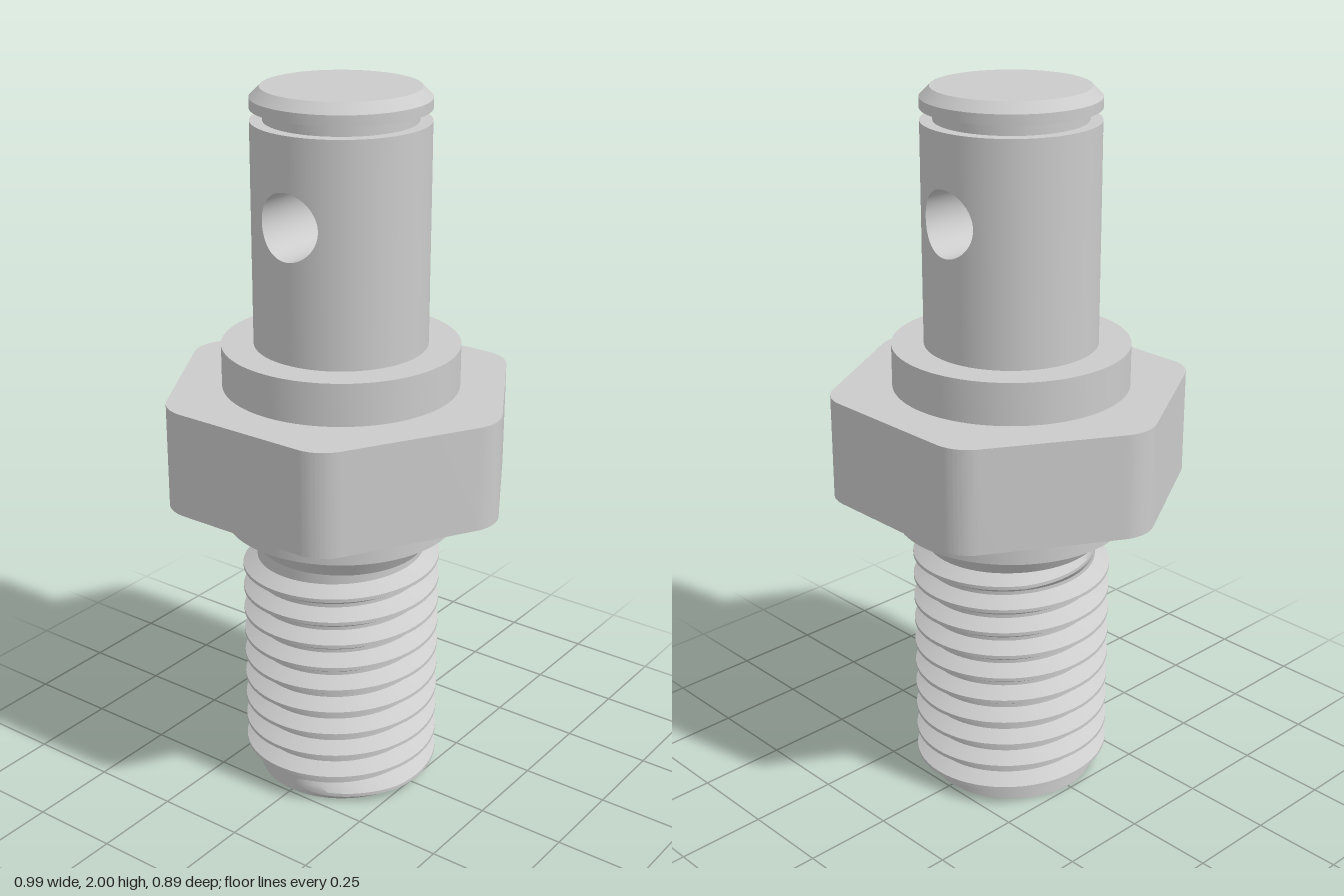
import * as THREE from 'three';
import { toCreasedNormals } from 'three/addons/utils/BufferGeometryUtils.js';
import { ParametricGeometry } from 'three/addons/geometries/ParametricGeometry.js';

const PIN_R = 0.237, PIN_BOTTOM = 1.31, PIN_TOP = 1.913;
const HOLE_R = 0.09, HOLE_Y = 1.678;
const ROOT_R = 0.238, CREST_R = 0.28, PITCH = 0.071, TURNS = 9.85;

const material = new THREE.MeshStandardMaterial({ color: 0xcccccc });

function part(name, geometry) {
  const mesh = new THREE.Mesh(geometry, material);
  mesh.name = name;
  return mesh;
}

// Solid of revolution from [radius, y] pairs listed upwards
function turned(name, profile) {
  const points = profile.map(([r, y]) => new THREE.Vector2(r, y));
  return part(name, toCreasedNormals(new THREE.LatheGeometry(points, 96), 0.4));
}

// Hexagon with filleted corners, extruded upwards
function hexNut(apothem, fillet, y0, y1) {
  const shape = new THREE.Shape();
  const centre = (apothem - fillet) / Math.cos(Math.PI / 6);
  for (let i = 0; i < 6; i++) {
    const a = (i * Math.PI) / 3;
    shape.absarc(centre * Math.cos(a), centre * Math.sin(a), fillet, a - Math.PI / 6, a + Math.PI / 6, false);
  }
  shape.closePath();
  const geometry = new THREE.ExtrudeGeometry(shape, { depth: y1 - y0, bevelEnabled: false, curveSegments: 10 });
  geometry.rotateX(-Math.PI / 2).translate(0, y0, 0);
  return part('hexNut', toCreasedNormals(geometry, 0.4));
}

// Half of the pin wall, spreading from the hole rim to the edges of the half cylinder
function pinWall() {
  return new ParametricGeometry((u, v, target) => {
    const a = -u * Math.PI * 2;
    const c = Math.cos(a), s = Math.sin(a), m = Math.max(Math.abs(c), Math.abs(s));
    const edgeY = s > 0 ? PIN_TOP - HOLE_Y : HOLE_Y - PIN_BOTTOM;
    const phi = THREE.MathUtils.lerp(Math.asin((HOLE_R * c) / PIN_R), ((c / m) * Math.PI) / 2, v);
    const y = HOLE_Y + THREE.MathUtils.lerp(HOLE_R * s, (s / m) * edgeY, v);
    target.set(PIN_R * Math.sin(phi), y, PIN_R * Math.cos(phi));
  }, 128, 16);
}

// Inner wall of the cross hole, ending on the pin surface
function holeWall() {
  return new ParametricGeometry((u, v, target) => {
    const a = -u * Math.PI * 2;
    const x = HOLE_R * Math.cos(a);
    target.set(x, HOLE_Y + HOLE_R * Math.sin(a), (2 * v - 1) * Math.sqrt(PIN_R * PIN_R - x * x));
  }, 128, 2);
}

// Right-handed helical ridge, fading out at both ends
function threadRidge() {
  const profile = [[-0.031, 0], [-0.005, 1], [0.005, 1], [0.031, 0]];
  const geometry = new ParametricGeometry((u, v, target) => {
    const t = u * TURNS, phi = t * Math.PI * 2;
    const fade = Math.min(1, t / 0.2, (TURNS - t) / 0.2);
    const i = Math.min(2, Math.floor(v * 3)), f = v * 3 - i;
    const dy = THREE.MathUtils.lerp(profile[i][0], profile[i + 1][0], f);
    const h = THREE.MathUtils.lerp(profile[i][1], profile[i + 1][1], f);
    const r = ROOT_R - 0.001 + (CREST_R - ROOT_R) * h * fade;
    const y = Math.max(0, 0.0174 + t * PITCH + dy);
    target.set(r * Math.sin(phi), y, r * Math.cos(phi));
  }, 640, 6);
  return toCreasedNormals(geometry, 0.5);
}

export function createModel() {
  const model = new THREE.Group();
  model.name = 'threadedStud';

  // Threaded shank with flared relief and lower collar
  model.add(turned('shankAndLowerCollar', [
    [0, 0], [ROOT_R, 0], [ROOT_R, 0.72], [0.28, 0.795], [0.325, 0.795], [0.325, 0.91],
  ]));
  model.add(part('thread', threadRidge()));

  // Nut and upper collar
  model.add(hexNut(0.445, 0.11, 0.9, 1.192));
  model.add(turned('upperCollar', [[0.325, 1.18], [0.325, PIN_BOTTOM], [PIN_R - 0.01, PIN_BOTTOM]]));

  // Pin drilled through from front to back
  const pin = new THREE.Group();
  pin.name = 'drilledPin';
  const wall = pinWall();
  const back = part('pinBack', wall);
  back.rotation.y = Math.PI;
  pin.add(part('pinFront', wall), back, part('crossHole', holeWall()));
  model.add(pin);

  // Retaining groove and chamfered head
  model.add(turned('grooveAndHead', [
    [PIN_R, PIN_TOP], [0.203, PIN_TOP], [0.203, 1.945], [PIN_R, 1.945],
    [PIN_R, 1.973], [0.21, 2], [0, 2],
  ]));
  return model;
}
